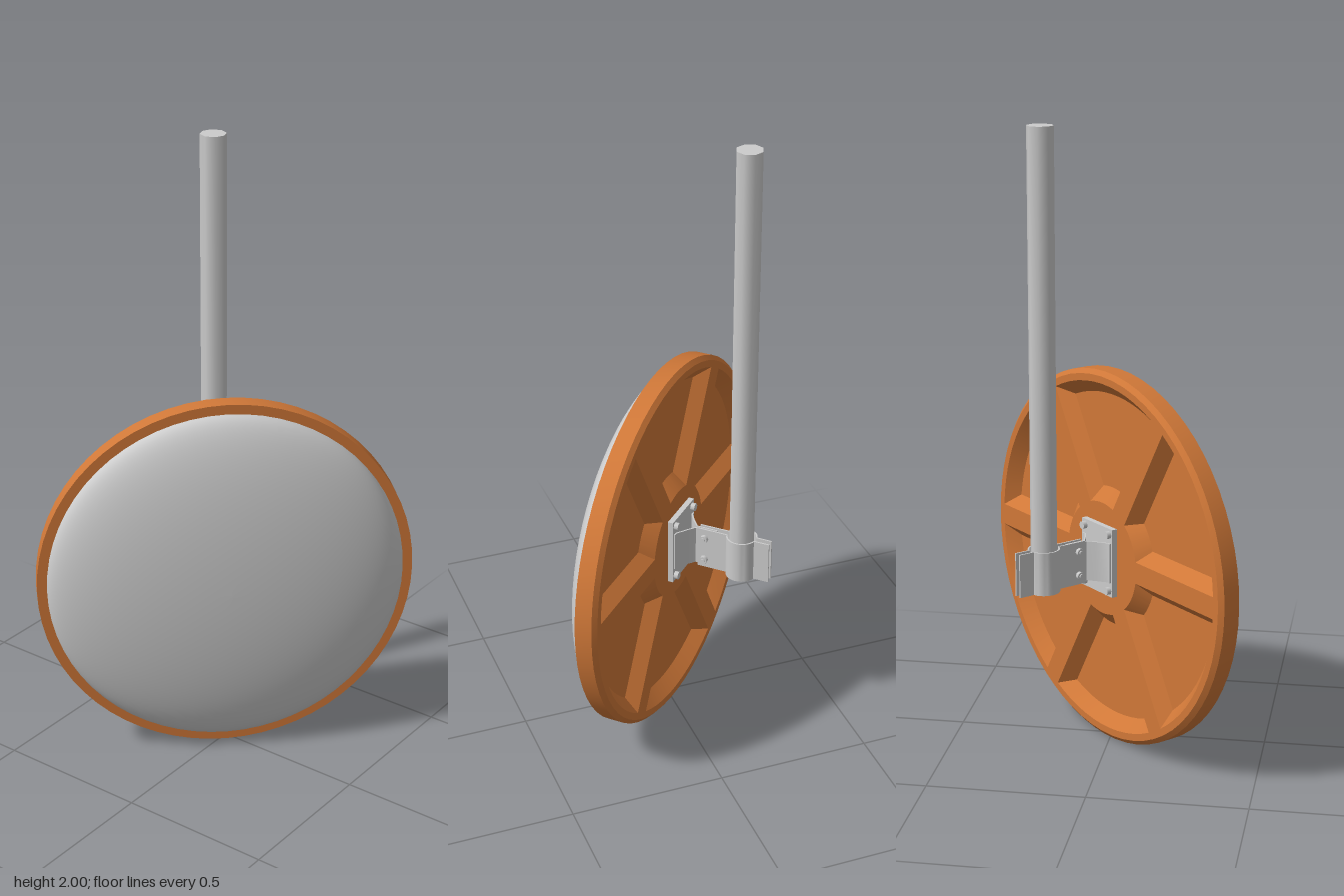
import * as THREE from 'three';
import { toCreasedNormals } from 'three/addons/utils/BufferGeometryUtils.js';

const orange = new THREE.MeshStandardMaterial({ color: 0xd07838 });
const grey = new THREE.MeshStandardMaterial({ color: 0xcccccc });
const CY = 0.61;        // height of the dish centre
const POLE_Z = -0.262;  // pole axis behind the dish

function add(parent, name, geo, mat, x = 0, y = 0, z = 0) {
  const m = new THREE.Mesh(geo, mat);
  m.name = name;
  m.position.set(x, y, z);
  parent.add(m);
  return m;
}

// Profile of [radius, z] spun about the z axis
function spin(points, segments) {
  const geo = new THREE.LatheGeometry(points.map(p => new THREE.Vector2(...p)), segments);
  return geo.rotateX(Math.PI / 2);
}

// Counter-clockwise outline of one pocket between two ribs
function pocket(start, rIn, rOut, halfRib) {
  const pts = [], n = 12;
  const arc = (r, reverse) => {
    const inset = Math.asin(halfRib / r);
    for (let i = 0; i <= n; i++) {
      const t = reverse ? 1 - i / n : i / n;
      const a = start + inset + t * (Math.PI / 3 - 2 * inset);
      pts.push(new THREE.Vector2(r * Math.cos(a), r * Math.sin(a)));
    }
  };
  arc(rOut, false);
  arc(rIn, true);
  return pts;
}

// Sloping wall between an outline at z = za and a smaller one at z = zb
function pocketWall(a, b, za, zb) {
  const pos = [];
  a.forEach((p, i) => {
    const j = (i + 1) % a.length;
    const A = [p.x, p.y, za], B = [a[j].x, a[j].y, za];
    const C = [b[j].x, b[j].y, zb], D = [b[i].x, b[i].y, zb];
    pos.push(...A, ...B, ...C, ...A, ...C, ...D);
  });
  const geo = new THREE.BufferGeometry();
  geo.setAttribute('position', new THREE.Float32BufferAttribute(pos, 3));
  return toCreasedNormals(geo, 0.5);
}

// Bent sheet metal: a path of [x, z] with a thickness, standing upright
function sheet(path, thickness, height) {
  const p = path.map(q => new THREE.Vector2(...q));
  const side = s => p.map((q, i) => {
    const d = p[Math.min(i + 1, p.length - 1)].clone().sub(p[Math.max(i - 1, 0)]).normalize();
    return new THREE.Vector2(q.x - d.y * s, q.y + d.x * s);
  });
  const shape = new THREE.Shape([...side(thickness / 2), ...side(-thickness / 2).reverse()]);
  const geo = new THREE.ExtrudeGeometry(shape, { depth: height, bevelEnabled: false });
  geo.translate(0, 0, -height / 2).rotateX(Math.PI / 2);
  return toCreasedNormals(geo, 0.6);
}

function buildDish() {
  const dish = new THREE.Group();
  dish.name = 'dish';
  const rim = spin([[0.595, -0.041], [0.61, -0.028], [0.61, 0.028], [0, 0.028]], 64);
  add(dish, 'rim', toCreasedNormals(rim, 0.5), orange);

  // Convex mirror with a rounded edge
  const profile = [];
  for (let i = 0; i <= 20; i++) {
    const a = (i / 20) * Math.PI / 2;
    profile.push([0.578 * Math.cos(a), 0.028 + 0.124 * Math.sin(a)]);
  }
  add(dish, 'mirror', spin(profile, 64), grey);

  // Ribbed back: plate with six sunken pockets
  const back = new THREE.Group();
  back.name = 'ribbedBack';
  back.rotation.y = Math.PI;
  dish.add(back);
  const plate = new THREE.Shape().absarc(0, 0, 0.595, 0, Math.PI * 2, false);
  for (let i = 0; i < 6; i++) {
    const start = i * Math.PI / 3;
    const top = pocket(start, 0.185, 0.572, 0.035);
    const floor = pocket(start, 0.228, 0.532, 0.072);
    plate.holes.push(new THREE.Path(top.slice().reverse()));
    add(back, 'pocketWall', pocketWall(top, floor, 0.041, 0), orange);
  }
  add(back, 'backPlate', new THREE.ShapeGeometry(plate, 32), orange, 0, 0, 0.041);
  add(back, 'pocketFloor', new THREE.CircleGeometry(0.59, 48), orange);
  return dish;
}

function buildBracket() {
  const bracket = new THREE.Group();
  bracket.name = 'bracket';

  // Plate on the hub, with a bolt in each corner
  add(bracket, 'mountingPlate', new THREE.BoxGeometry(0.165, 0.225, 0.018), grey, 0, 0, -0.05);
  for (const x of [-0.065, 0.065]) for (const y of [-0.093, 0.093]) {
    const head = new THREE.CylinderGeometry(0.013, 0.013, 0.014, 8).rotateX(Math.PI / 2);
    add(bracket, 'plateBolt', head, grey, x, y, -0.066);
  }

  for (const s of [-1, 1]) {
    // Splayed foot that folds back into a flat tongue
    const foot = [[0.075, -0.061], [0.062, -0.062], [0.03, -0.084], [0.005, -0.105], [0.005, -0.175]];
    add(bracket, 'foot', sheet(foot.map(([x, z]) => [s * x, z]), 0.005, 0.13), grey);

    // Half of the clamp: strap, half ring round the pole, ear
    const clamp = [[0.011, -0.115]];
    for (let i = 0; i <= 14; i++) {
      const a = 0.24 + (i / 14) * (Math.PI - 0.48);
      clamp.push([0.048 * Math.sin(a), POLE_Z + 0.048 * Math.cos(a)]);
    }
    clamp.push([0.011, -0.36]);
    add(bracket, 'clampHalf', sheet(clamp.map(([x, z]) => [s * x, z]), 0.005, 0.14), grey);
  }

  // Bolts through the tongue
  for (const y of [-0.039, 0.039]) {
    const along = r => new THREE.CylinderGeometry(r, r, 1, 8).rotateZ(Math.PI / 2);
    add(bracket, 'clampBolt', along(0.007).scale(0.065, 1, 1), grey, 0, y, -0.14);
    for (const s of [-1, 1])
      add(bracket, 'clampBoltHead', along(0.013).scale(0.012, 1, 1), grey, s * 0.022, y, -0.14);
  }
  return bracket;
}

export function createModel() {
  const model = new THREE.Group();
  model.name = 'convexMirror';

  // Everything is turned to face between the front and the right
  const assembly = new THREE.Group();
  assembly.name = 'assembly';
  assembly.rotation.y = -Math.PI / 4;
  model.add(assembly);

  const dish = buildDish();
  dish.position.y = CY;
  const bracket = buildBracket();
  bracket.position.y = CY + 0.005;
  assembly.add(dish, bracket);

  const pole = new THREE.CylinderGeometry(0.042, 0.042, 1.455, 8);
  add(assembly, 'pole', pole, grey, 0, 2 - 1.455 / 2, POLE_Z);
  return model;
}
